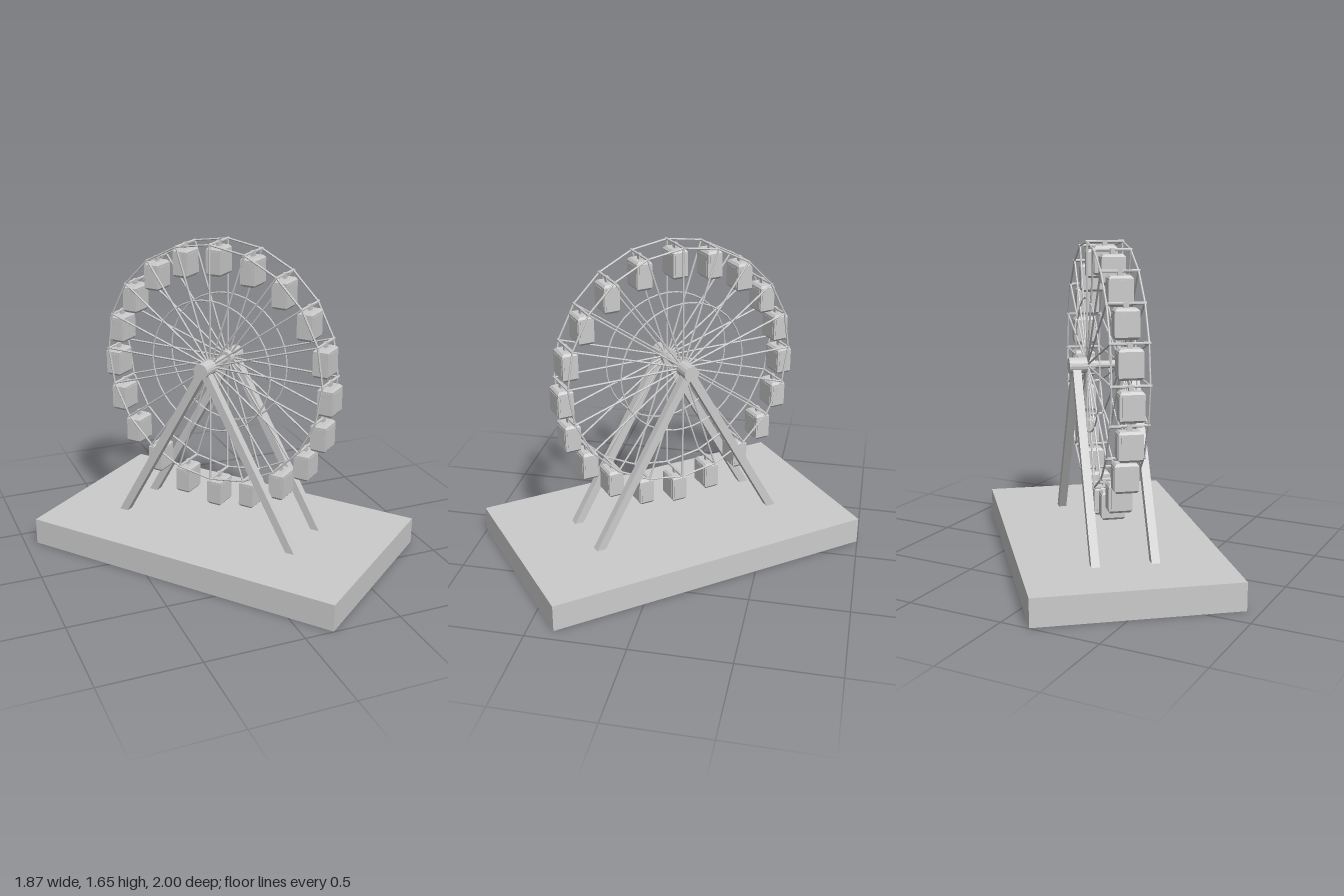
import * as THREE from 'three';

const mat = new THREE.MeshStandardMaterial({ color: 0xcccccc, flatShading: true });
const HUB_Y = 1.025, RIM = 0.618, RING = 0.34, HALF = 0.09, COUNT = 20;

function add(parent, name, geometry, x = 0, y = 0, z = 0) {
  const mesh = new THREE.Mesh(geometry, mat);
  mesh.name = name;
  mesh.position.set(x, y, z);
  parent.add(mesh);
  return mesh;
}

// straight bar between two points, round or square in section
function bar(parent, name, a, b, radius, square = false) {
  const length = a.distanceTo(b);
  const geometry = square
    ? new THREE.BoxGeometry(radius * 2, length, radius * 2)
    : new THREE.CylinderGeometry(radius, radius, length, 6);
  const mesh = add(parent, name, geometry);
  mesh.position.copy(a).lerp(b, 0.5);
  mesh.quaternion.setFromUnitVectors(new THREE.Vector3(0, 1, 0), b.clone().sub(a).normalize());
  return mesh;
}

// box whose top and bottom can differ in size
function taperedBox(w, d, h, top, bottom) {
  const geometry = new THREE.BoxGeometry(w, h, d);
  const p = geometry.attributes.position;
  for (let i = 0; i < p.count; i++) {
    const inset = p.getY(i) > 0 ? top : bottom;
    p.setX(i, p.getX(i) - Math.sign(p.getX(i)) * inset);
    p.setZ(i, p.getZ(i) - Math.sign(p.getZ(i)) * inset);
  }
  geometry.computeVertexNormals();
  return geometry;
}

// point on the wheel, z being the side offset
function polar(r, angle, z) {
  return new THREE.Vector3(r * Math.sin(angle), r * Math.cos(angle), z);
}

// hanging cabin with its pivot at the origin
function createCabin() {
  const cabin = new THREE.Group();
  cabin.name = 'cabin';
  const W = 0.08, D = 0.118;
  add(cabin, 'cabinBody', new THREE.BoxGeometry(W, 0.12, D), 0, -0.092, 0);
  add(cabin, 'cabinRoof', taperedBox(W, D, 0.012, 0.01, 0), 0, -0.026, 0);
  add(cabin, 'cabinFloor', taperedBox(W, D, 0.012, 0, 0.01), 0, -0.158, 0);
  for (const s of [-1, 1]) {
    add(cabin, 'sidePanel', new THREE.BoxGeometry(0.004, 0.1, D - 0.024), s * W / 2, -0.092, 0);
    add(cabin, 'endPanel', new THREE.BoxGeometry(W - 0.02, 0.1, 0.004), 0, -0.092, s * D / 2);
  }
  add(cabin, 'hanger', new THREE.BoxGeometry(0.016, 0.03, 0.024), 0, -0.008, 0);
  return cabin;
}

function createWheel() {
  const wheel = new THREE.Group();
  wheel.name = 'wheel';
  const step = (Math.PI * 2) / COUNT;
  for (const z of [-HALF, HALF]) {
    add(wheel, 'innerRing', new THREE.TorusGeometry(RING, 0.004, 6, 40), 0, 0, z);
    for (let i = 0; i < COUNT; i++) {
      const a = i * step;
      bar(wheel, 'spoke', polar(0.02, a, z), polar(RIM, a, z), 0.005);
      bar(wheel, 'rimBar', polar(RIM, a, z), polar(RIM, a + step, z), 0.005);
    }
  }
  const cabin = createCabin();
  for (let i = 0; i < COUNT; i++) {
    const a = i * step;
    bar(wheel, 'crossbar', polar(RIM, a, -HALF - 0.008), polar(RIM, a, HALF + 0.008), 0.007);
    const c = cabin.clone();
    c.position.copy(polar(RIM, a, 0));
    wheel.add(c);
  }
  wheel.position.y = HUB_Y;
  return wheel;
}

export function createModel() {
  const model = new THREE.Group();
  model.name = 'ferrisWheel';
  add(model, 'base', new THREE.BoxGeometry(1.748, 0.14, 1.007), 0, 0.07, 0);

  const ride = new THREE.Group();
  ride.name = 'ride';
  ride.position.set(-0.028, 0, 0.003);
  ride.add(createWheel());

  // axle, hubs and A-frame legs on both sides
  const axle = add(ride, 'axle', new THREE.CylinderGeometry(0.02, 0.02, 0.3, 12), 0, HUB_Y, 0);
  axle.rotation.x = Math.PI / 2;
  for (const side of [-1, 1]) {
    const hub = add(ride, 'hub', new THREE.CylinderGeometry(0.04, 0.04, 0.13, 16), 0, HUB_Y, side * 0.12);
    hub.rotation.x = Math.PI / 2;
    for (const s of [-1, 1]) {
      bar(ride, 'supportLeg', new THREE.Vector3(s * 0.515, 0.12, side * 0.147),
        new THREE.Vector3(0, HUB_Y, side * 0.147), 0.021, true);
    }
  }
  model.add(ride);
  model.rotation.y = -0.901;

  const root = new THREE.Group();
  root.name = 'model';
  root.add(model);
  return root;
}
